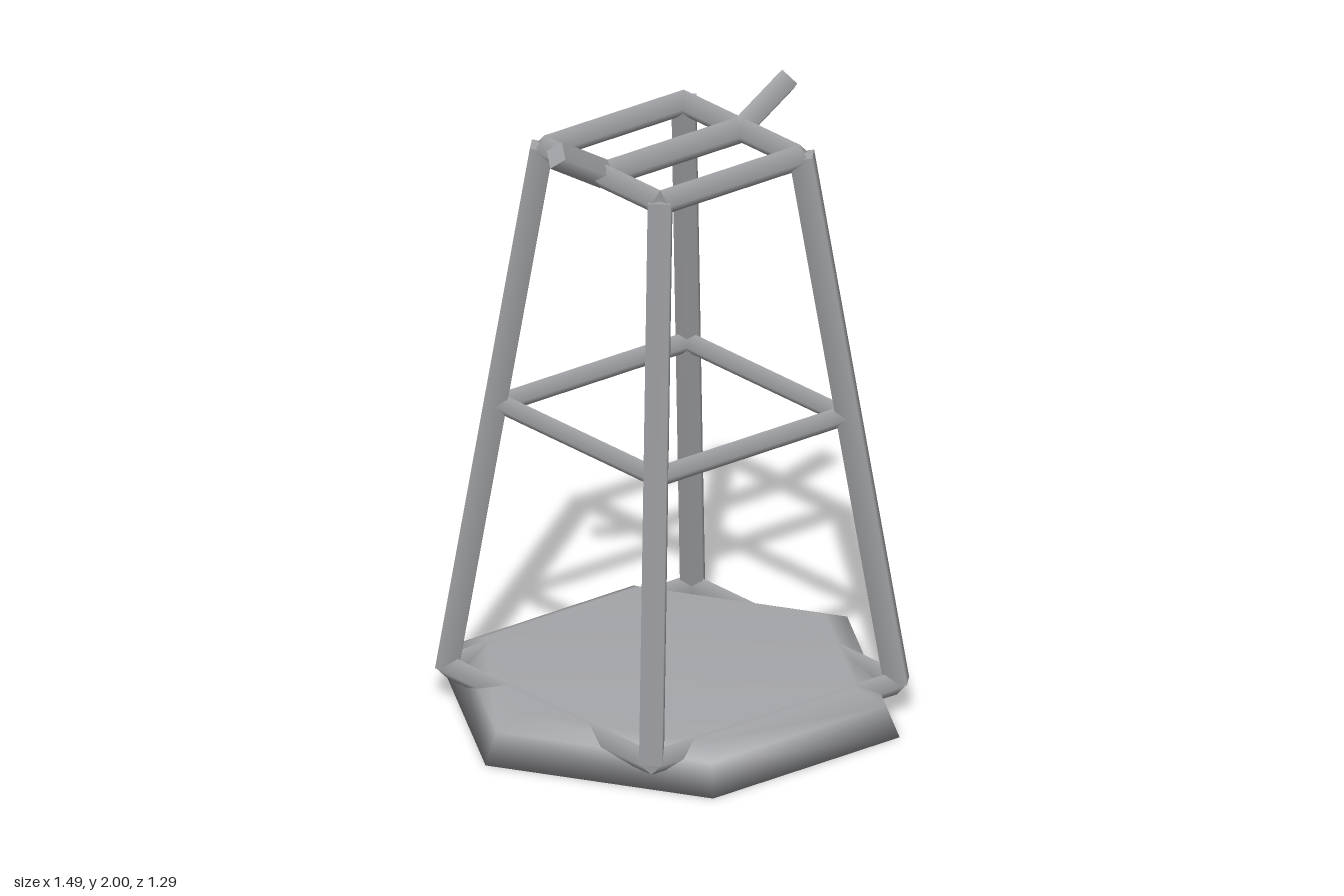
import * as THREE from 'three';

export function createModel() {
  const group = new THREE.Group();
  const metal = new THREE.MeshStandardMaterial({ color: 0xa6a7aa });
  metal.name = 'grey metal';
  const up = new THREE.Vector3(0, 1, 0);

  // Square-section bar between two points, smooth shaded, corners up and sideways
  function bar(name, from, to, radius) {
    const a = new THREE.Vector3(...from);
    const b = new THREE.Vector3(...to);
    const span = b.clone().sub(a);
    const mesh = new THREE.Mesh(new THREE.CylinderGeometry(radius, radius, span.length(), 4), metal);
    mesh.quaternion.setFromUnitVectors(up, span.normalize());
    mesh.position.copy(a).add(b).multiplyScalar(0.5);
    mesh.name = name;
    group.add(mesh);
  }

  // Four bars in a square at one height
  function squareFrame(name, half, y, radius) {
    for (const s of [-1, 1]) {
      bar(name, [-half, y, s * half], [half, y, s * half], radius);
      bar(name, [s * half, y, -half], [s * half, y, half], radius);
    }
  }

  // Hexagonal base with bevelled rim
  const profile = [[0, 0], [0.745, 0], [0.7, 0.1], [0.61, 0.135], [0, 0.135]]
    .map(([r, y]) => new THREE.Vector2(r, y));
  const base = new THREE.Mesh(new THREE.LatheGeometry(profile, 6, Math.PI / 2), metal);
  base.name = 'base';
  group.add(base);

  // Leaning legs
  for (const sx of [-1, 1]) {
    for (const sz of [-1, 1]) {
      bar('leg', [sx * 0.49, 0.1, sz * 0.49], [sx * 0.283, 1.85, sz * 0.283], 0.05);
    }
  }

  // Horizontal frames, the lowest partly sunk in the base
  squareFrame('footFrame', 0.49, 0.1, 0.04);
  squareFrame('middleFrame', 0.375, 0.985, 0.035);
  squareFrame('topFrame', 0.278, 1.843, 0.043);

  // Crossbar with raised ends
  bar('crossbar', [-0.28, 1.845, 0], [0.28, 1.845, 0], 0.046);
  for (const s of [-1, 1]) {
    bar('crossbarEnd', [s * 0.265, 1.843, 0], [s * 0.463, 1.962, 0], 0.045);
  }

  return group;
}
